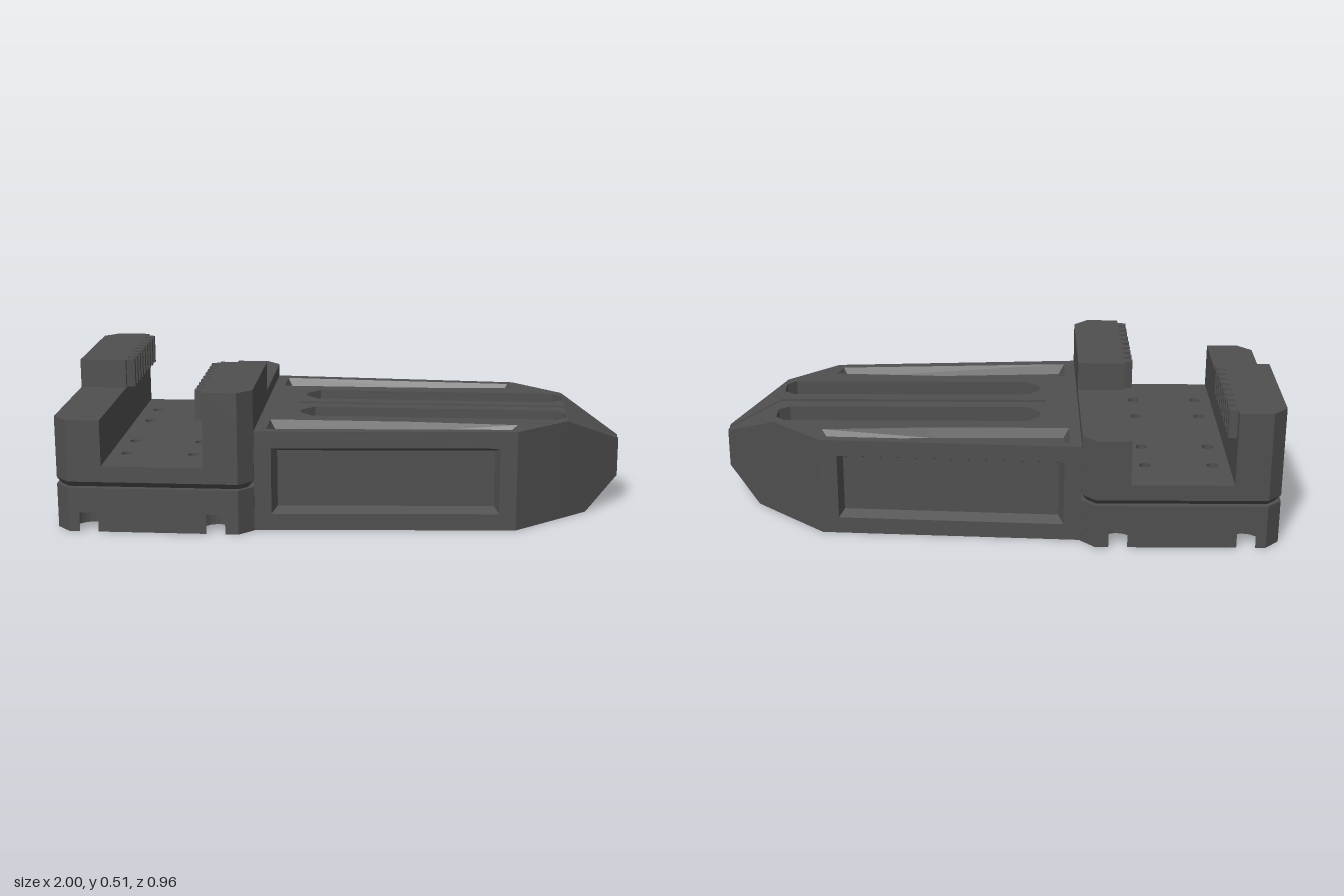
import * as THREE from 'three';
import { ConvexGeometry } from 'three/addons/geometries/ConvexGeometry.js';

const metal = new THREE.MeshStandardMaterial({ color: 0x505050, side: THREE.DoubleSide });
metal.name = 'dark grey metal';

const add = (parent, name, geometry) => {
  const mesh = new THREE.Mesh(geometry, metal);
  mesh.name = name;
  parent.add(mesh);
  return mesh;
};

// Points on an arc in plan, as [x, z]
const arc = (cx, cz, r, a0, a1, n) => Array.from({ length: n + 1 }, (_, i) => {
  const a = a0 + (a1 - a0) * i / n;
  return [cx + r * Math.cos(a), cz + r * Math.sin(a)];
});
const circle = (cx, cz, r, n = 20) => arc(cx, cz, r, 0, Math.PI * 2, n).slice(0, n);

// Upright slab with a plan outline of [x, z] points and optional holes
function slab(outline, y0, y1, holes = []) {
  const toV = (pts) => pts.map(([x, z]) => new THREE.Vector2(x, -z));
  const shape = new THREE.Shape(toV(outline));
  shape.holes = holes.map((h) => new THREE.Path(toV(h)));
  const g = new THREE.ExtrudeGeometry(shape, { depth: y1 - y0, bevelEnabled: false });
  return g.rotateX(-Math.PI / 2).translate(0, y0, 0);
}

// Flat-shaded band joining two loops of [x, y, z] points
function band(a, b) {
  const pos = [];
  a.forEach((p, i) => {
    const j = (i + 1) % a.length;
    pos.push(...p, ...a[j], ...b[j], ...p, ...b[j], ...b[i]);
  });
  const g = new THREE.BufferGeometry();
  g.setAttribute('position', new THREE.Float32BufferAttribute(pos, 3));
  g.computeVertexNormals();
  return g;
}

// Octagonal block outline, optionally shrunk
const blockOutline = (d = 0) => [
  [-1 + d, -0.43], [-0.95, -0.48 + d], [-0.35, -0.48 + d], [-0.3 - d, -0.43],
  [-0.3 - d, 0.43], [-0.35, 0.48 - d], [-0.95, 0.48 - d], [-1 + d, 0.43],
];

function createBlock() {
  const block = new THREE.Group();
  block.name = 'clampBlock';

  // Base: sockets underneath, the outer ones breaking through the side
  const cols = [-0.88, -0.43], r = 0.06, open = Math.asin(0.05 / r);
  const notch = (x, s) => s > 0
    ? arc(x, 0.43, r, open, open - 2 * Math.PI + (Math.PI - 2 * open), 18)
    : arc(x, -0.43, r, Math.PI + open, Math.PI + open - 2 * Math.PI + (Math.PI - 2 * open), 18);
  const o = blockOutline();
  const footOutline = [
    o[0], o[1], ...notch(cols[0], -1), ...notch(cols[1], -1), o[2], o[3],
    o[4], o[5], ...notch(cols[1], 1), ...notch(cols[0], 1), o[6], o[7],
  ];
  const sockets = cols.flatMap((x) => [-0.19, 0.19].map((z) => circle(x, z, r)));
  add(block, 'baseSockets', slab(footOutline, 0, 0.07, sockets));
  add(block, 'base', slab(o, 0.07, 0.16));

  // Groove between base and saddle
  const at = (pts, y) => pts.map(([x, z]) => [x, y, z]);
  add(block, 'grooveChamfer', band(at(blockOutline(0.022), 0.16), at(o, 0.182)));

  // Saddle floor with small bolt holes
  const bolts = [-0.77, -0.53].flatMap((x) => [-0.31, -0.145, 0.145, 0.31].map((z) => circle(x, z, 0.021, 16)));
  add(block, 'saddleFloor', slab(o, 0.182, 0.24, bolts));

  // Two jaws, each the other turned half round
  for (const turn of [0, Math.PI]) {
    const jaw = new THREE.Group();
    jaw.name = turn ? 'frontJaw' : 'rearJaw';
    const xIn = -0.18, xOut = -0.35;
    add(jaw, 'jawWall', slab([
      [xOut, -0.43], [xOut + 0.05, -0.48], [xIn, -0.48], [xIn, 0.48], [xOut + 0.05, 0.48], [xOut, 0.43],
    ], 0.24, 0.405));
    // Raised half with a row of teeth
    const teeth = [];
    for (let i = 0; i < 9; i++) {
      const z = -0.45 + i * 0.05;
      teeth.push([xIn, z], [xIn + 0.03, z + 0.008], [xIn + 0.03, z + 0.027], [xIn, z + 0.035]);
    }
    add(jaw, 'toothedGrip', slab([
      [xOut, 0], [xOut, -0.43], [xOut + 0.05, -0.48], [xIn, -0.48], ...teeth, [xIn, 0],
    ], 0.405, 0.51));
    jaw.position.x = -0.65;
    jaw.rotation.y = turn;
    block.add(jaw);
  }
  return block;
}

function createArm() {
  const arm = new THREE.Group();
  const edge = (x) => 0.425 - 0.06 * (x + 0.3);
  const inner = [[-0.3, 0], [-0.18, 0], [-0.18, 0.011], [0.8, 0.011], [0.8, 0.21], [0.62, edge(0.62)]];
  const outline = [...inner, [-0.3, edge(-0.3)]];
  const depth = 0.04, x0 = -0.24, x1 = 0.56;
  const notched = [...inner, [x1, edge(x1)], [x1, edge(x1) - depth], [x0, edge(x0) - depth], [x0, edge(x0)], [-0.3, edge(-0.3)]];

  // Long window with clipped corners
  const slot = [
    [-0.16, 0.105], [-0.115, 0.062], [0.76, 0.062], [0.797, 0.09],
    [0.797, 0.16], [0.765, 0.192], [-0.115, 0.192], [-0.16, 0.145],
  ];
  const pocket = [[-0.26, 0.385], [0.6, 0.34], [0.62, 0.275], [0.24, 0.255], [-0.26, 0.255]];
  const pocketFloor = [[-0.24, 0.367], [0.58, 0.322], [0.595, 0.295], [0.24, 0.268], [-0.24, 0.268]];

  // Body in layers, so that the recesses are real
  add(arm, 'armBottom', slab(outline, 0, 0.06, [slot]));
  add(arm, 'armMiddle', slab(notched, 0.06, 0.3, [slot]));
  add(arm, 'armUpper', slab(outline, 0.3, 0.325, [slot]));
  add(arm, 'armTop', slab(outline, 0.325, 0.36, [slot, pocket]));

  // Sloped walls of the recesses
  add(arm, 'topRecess', band(pocket.map(([x, z]) => [x, 0.36, z]), pocketFloor.map(([x, z]) => [x, 0.3255, z])));
  const rect = (m, d) => [[x0 + m, 0.06 + m], [x1 - m, 0.06 + m], [x1 - m, 0.3 - m], [x0 + m, 0.3 - m]]
    .map(([x, y]) => [x, y, edge(x) - d]);
  add(arm, 'sideRecess', band(rect(0, 0), rect(0.018, depth - 0.0005)));

  // Tapered nose
  const nose = [];
  for (const [x, z, ys] of [[0.8, 0.21, [0, 0.36]], [0.88, 0.138, [0]], [1, 0.03, [0.11, 0.25]]])
    for (const y of ys) nose.push(new THREE.Vector3(x, y, z), new THREE.Vector3(x, y, 0.011));
  add(arm, 'nose', new ConvexGeometry(nose));
  return arm;
}

export function createModel() {
  const model = new THREE.Group();
  model.name = 'railClamp';
  model.add(createBlock());
  for (const s of [1, -1]) {
    const arm = createArm();
    arm.name = s > 0 ? 'rightArm' : 'leftArm';
    arm.scale.z = s;
    model.add(arm);
  }
  return model;
}
